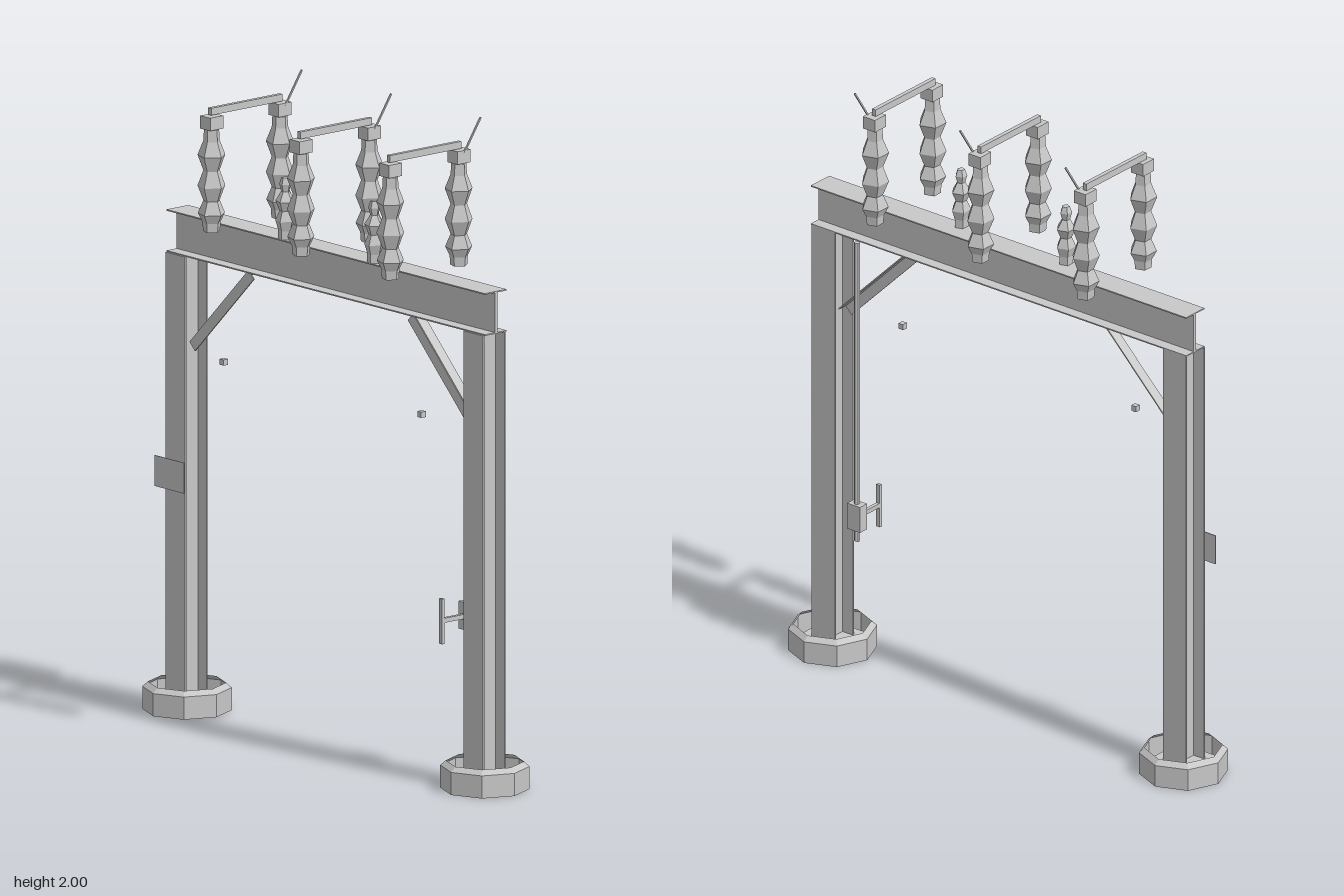
import * as THREE from 'three';

export function createModel() {
  const model = new THREE.Group();
  const steel = new THREE.MeshStandardMaterial({ color: 0xc8c8c8, side: THREE.DoubleSide });
  steel.name = 'galvanised grey';
  const Z = 0.014; // middle plane of the frame

  function add(geo, name, x = 0, y = 0, z = 0, parent = model) {
    const mesh = new THREE.Mesh(geo, steel);
    mesh.name = name;
    mesh.position.set(x, y, z);
    parent.add(mesh);
    return mesh;
  }
  const box = (name, w, h, d, x, y, z, parent) =>
    add(new THREE.BoxGeometry(w, h, d), name, x, y, z, parent);

  // Straight bar between two points
  function bar(name, a, b, w, d = w) {
    const from = new THREE.Vector3(...a), to = new THREE.Vector3(...b);
    const dir = to.clone().sub(from);
    const mesh = box(name, w, dir.length(), d, 0, 0, 0);
    mesh.position.copy(from).add(to).multiplyScalar(0.5);
    mesh.quaternion.setFromUnitVectors(new THREE.Vector3(0, 1, 0), dir.normalize());
    return mesh;
  }

  // Faceted turned shape with a corner towards +x
  function turned(profile, sides) {
    const pts = profile.map(([r, y]) => new THREE.Vector2(r, y));
    const geo = new THREE.LatheGeometry(pts, sides, Math.PI / 2).toNonIndexed();
    geo.computeVertexNormals();
    return geo;
  }

  // Open octagonal footing collar
  const footingGeo = turned([[0.135, 0], [0.135, 0.07], [0.118, 0.085]], 8);

  for (const s of [-1, 1]) {
    const side = s > 0 ? 'left' : 'right';
    // H-section column on its foot plate
    const column = new THREE.Group();
    column.name = side + 'Column';
    column.position.set(s * 0.683, 0, Z);
    model.add(column);
    add(footingGeo, 'footing', 0, 0, 0, column);
    box('footPlate', 0.165, 0.006, 0.165, 0, 0.038, 0, column);
    for (const z of [-0.041, 0.044])
      box('columnFlange', 0.09, 1.375, 0.005, 0, 0.7275, z, column);
    box('columnWeb', 0.01, 1.375, 0.082, 0, 0.7275, 0.0015, column);

    // Angle-section knee brace
    bar(side + 'BraceFace', [s * 0.635, 1.135, 0.033], [s * 0.365, 1.405, 0.033], 0.034, 0.004);
    bar(side + 'BraceLeg', [s * 0.647, 1.147, 0.016], [s * 0.377, 1.417, 0.016], 0.004, 0.034);

    box(side + 'Stud', 0.018, 0.018, 0.018, s * 0.453, 1.125, 0.067);
  }

  // I-section crossbeam
  for (const y of [1.4165, 1.5435])
    box('beamFlange', 1.46, 0.004, 0.087, 0, y, 0.012);
  box('beamWeb', 1.46, 0.125, 0.01, 0, 1.48, 0.01);

  // Sign plate on the right column
  box('signPlate', 0.135, 0.095, 0.003, -0.687, 0.737, 0.08);

  // Tall insulator pairs joined by switch blades
  const tallGeo = turned([
    [0, 1.55], [0.027, 1.55], [0.029, 1.578], [0.043, 1.605], [0.026, 1.645],
    [0.044, 1.69], [0.026, 1.738], [0.044, 1.785], [0.026, 1.83], [0.024, 1.866], [0, 1.866],
  ], 5);
  for (const x of [-0.41, 0, 0.41]) {
    for (const z of [-0.12, 0.153]) {
      add(tallGeo, 'tallInsulator', x, 0, z);
      box('insulatorCap', 0.046, 0.04, 0.052, x, 1.888, z);
    }
    box('switchBlade', 0.014, 0.022, 0.285, x - 0.003, 1.921, 0.016);
    bar('arcingHorn', [x + 0.021, 1.9, -0.122], [x + 0.021, 2, -0.188], 0.005);
  }

  // Short post insulators on the beam
  const shortGeo = turned([
    [0, 1.545], [0.022, 1.545], [0.022, 1.572], [0.031, 1.602], [0.018, 1.632],
    [0.031, 1.662], [0.013, 1.692], [0.019, 1.715], [0.012, 1.735], [0, 1.735],
  ], 5);
  for (const x of [-0.207, 0.201]) add(shortGeo, 'shortInsulator', x, 0, 0.036);

  // Operating rod, gearbox and hand lever
  const rodGeo = new THREE.CylinderGeometry(0.009, 0.009, 0.995, 6).toNonIndexed();
  rodGeo.computeVertexNormals();
  add(rodGeo, 'operatingRod', 0.543, 0.9175, -0.04);
  box('gearbox', 0.05, 0.085, 0.034, 0.543, 0.502, -0.04);
  box('leverShaft', 0.012, 0.014, 0.09, 0.543, 0.502, 0.018);
  box('handLever', 0.014, 0.14, 0.01, 0.543, 0.5, 0.064);

  return model;
}
